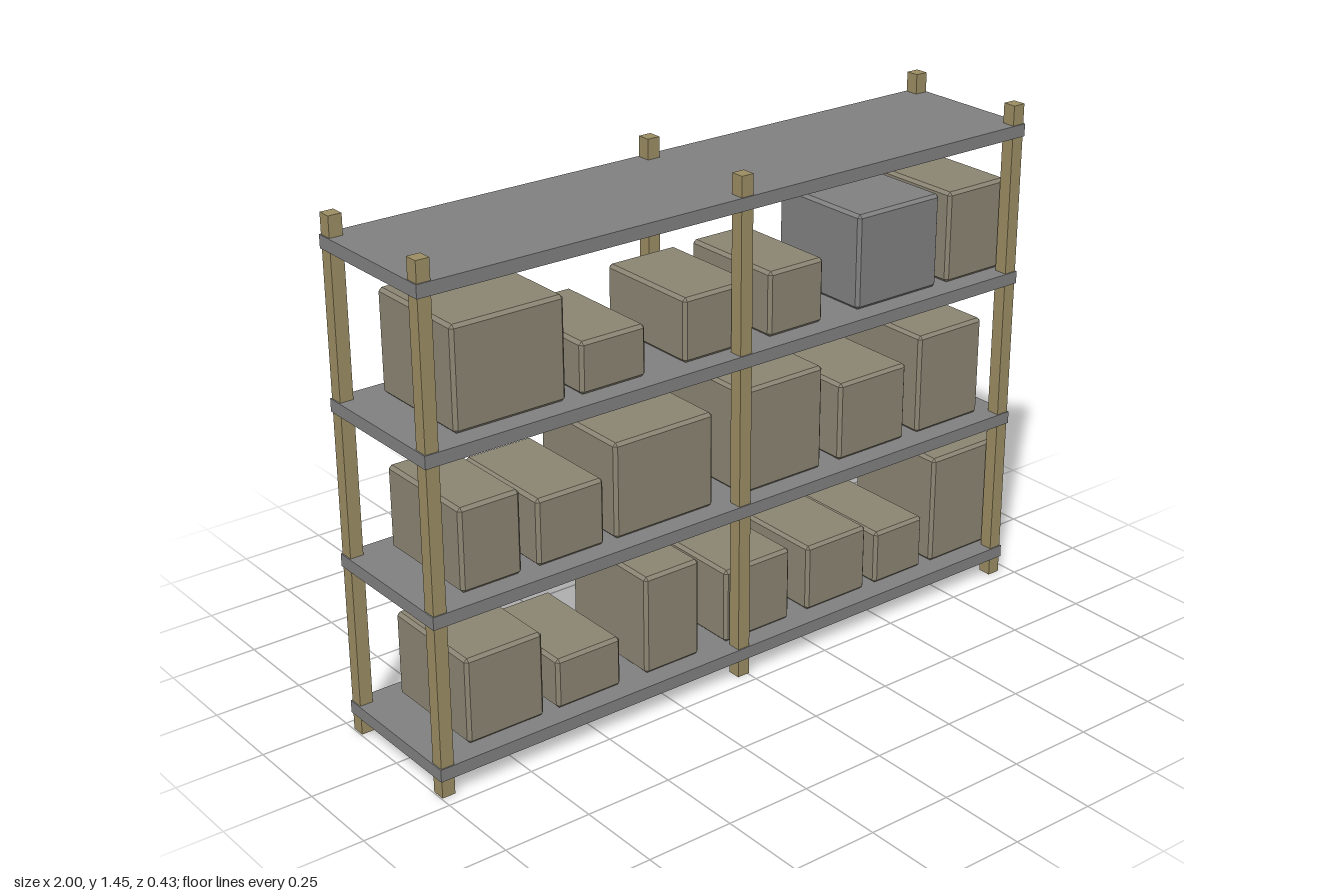
import * as THREE from 'three';
import { ConvexGeometry } from 'three/addons/geometries/ConvexGeometry.js';

const colour = (name, color) => {
  const m = new THREE.MeshStandardMaterial({ color });
  m.name = name;
  return m;
};

// Box with a small flat chamfer on every edge
function chamferedBox(w, h, d, c) {
  const points = [];
  for (const x of [-1, 1]) for (const y of [-1, 1]) for (const z of [-1, 1]) {
    const corner = [x * w / 2, y * h / 2, z * d / 2];
    for (let axis = 0; axis < 3; axis++) {
      const p = corner.map((v, i) => (i === axis ? v : v - Math.sign(v) * c));
      points.push(new THREE.Vector3(...p));
    }
  }
  return new ConvexGeometry(points);
}

export function createModel() {
  const model = new THREE.Group();
  model.name = 'storageRack';
  const wood = colour('wood', 0x9a8c63);
  const steel = colour('shelf grey', 0x808080);
  const card = colour('cardboard', 0x8a8472);
  const midX = -0.0145, shelfT = 0.036;
  const shelfY = [0.068, 0.503, 0.937, 1.37];

  const add = (name, geometry, material, x, y, z) => {
    const mesh = new THREE.Mesh(geometry, material);
    mesh.name = name;
    mesh.position.set(x, y, z);
    model.add(mesh);
  };

  // Posts: three along the front, three along the back
  const postGeo = new THREE.BoxGeometry(0.038, 1.445, 0.039);
  for (const side of [-1, 0, 1]) for (const z of [-0.194, 0.194])
    add('post', postGeo, wood, midX + side * 0.963, 0.7225, z);

  // Shelves
  const shelfGeo = new THREE.BoxGeometry(1.971, shelfT, 0.434);
  for (const y of shelfY) add('shelf', shelfGeo, steel, midX, y, 0);

  // Boxes on each shelf: [left x, right x, top y, material]
  const rows = [
    [[-0.88, -0.644, 0.334], [-0.602, -0.396, 0.233], [-0.313, -0.131, 0.377], [-0.04, 0.19, 0.307],
      [0.254, 0.473, 0.286], [0.511, 0.693, 0.249], [0.73, 1, 0.416]],
    [[-0.88, -0.698, 0.757], [-0.65, -0.441, 0.711], [-0.406, -0.083, 0.794], [0.013, 0.297, 0.826],
      [0.361, 0.607, 0.751], [0.655, 0.895, 0.816]],
    [[-0.88, -0.55, 1.239], [-0.505, -0.302, 1.099], [-0.179, 0.043, 1.135], [0.104, 0.291, 1.139],
      [0.414, 0.709, 1.227, steel], [0.746, 0.962, 1.22]],
  ];
  rows.forEach((row, i) => {
    const base = shelfY[i] + shelfT / 2 + 0.001;
    for (const [x0, x1, top, material = card] of row)
      add('box', chamferedBox(x1 - x0, top - base, 0.33, 0.009), material, (x0 + x1) / 2, (base + top) / 2, 0);
  });

  return model;
}
